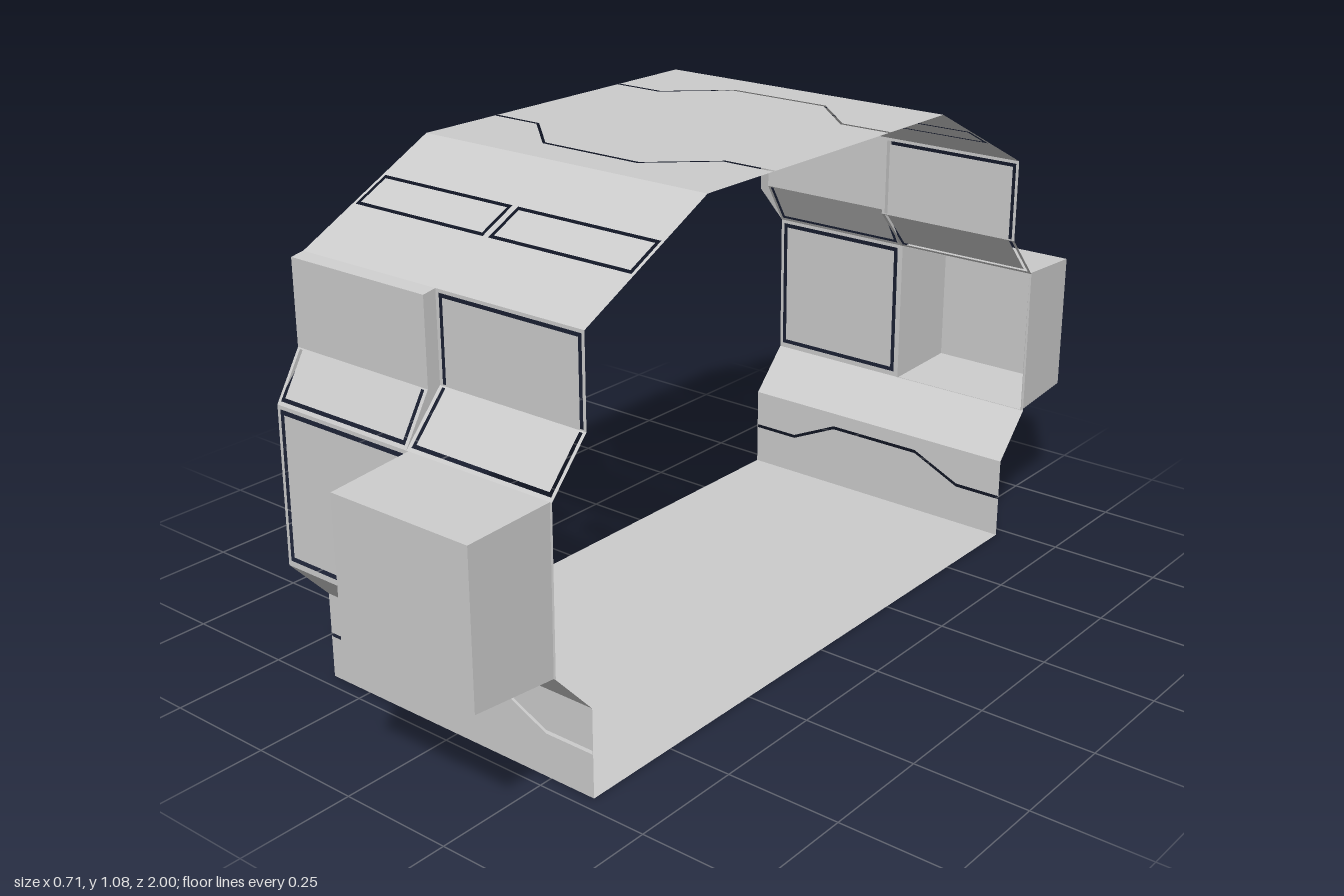
import * as THREE from 'three';

const W = 0.357; // half width of the tunnel segment
const GAP = 0.008; // width of the panel seams
const material = new THREE.MeshStandardMaterial({ color: 0xcccccc, flatShading: true, side: THREE.DoubleSide });

const outline = (pts) => pts.map(([x, y]) => new THREE.Vector2(x, y));
const rect = (x0, x1, t0, t1) => [[x0, t0], [x1, t0], [x1, t1], [x0, t1]];

// Seam running all round a rectangle: a hole with a slightly smaller panel inside
const frame = (x0, x1, t0, t1, g = GAP) => ({
  hole: rect(x0, x1, t0, t1),
  island: rect(x0 + g, x1 - g, t0 + g, t1 - g),
});

// Three-sided seam, open at t = open and closed at t = end
function channel(x0, x1, open, end, g = GAP) {
  const inner = end - Math.sign(end - open) * g;
  return {
    hole: [[x0, open], [x0, end], [x1, end], [x1, open],
      [x1 - g, open], [x1 - g, inner], [x0 + g, inner], [x0 + g, open]],
  };
}

// Cranked seam crossing the whole width
function crank(low, high) {
  const e = W - 0.001;
  const line = [[-e, low], [-0.24, low], [-0.12, high], [0.12, high], [0.24, low], [e, low]];
  const upper = line.map(([x, t]) => [x, t + GAP]).reverse();
  return { hole: [...line, ...upper] };
}

function add(parent, name, geometry) {
  const mesh = new THREE.Mesh(geometry, material);
  mesh.name = name;
  parent.add(mesh);
  return mesh;
}

// Flat wall between profile points a and b (each [z, y]), cut by seams and openings
function wall(parent, name, a, b, cuts = [], x0 = -W, x1 = W) {
  const from = new THREE.Vector3(0, a[1], a[0]);
  const along = new THREE.Vector3(0, b[1], b[0]).sub(from);
  const length = along.length();
  along.normalize();
  const across = new THREE.Vector3(1, 0, 0);
  const shape = new THREE.Shape(outline(rect(x0, x1, 0, length)));
  const shapes = [shape];
  for (const { hole, island } of cuts) {
    shape.holes.push(new THREE.Path(outline(hole)));
    if (island) shapes.push(new THREE.Shape(outline(island)));
  }
  const geometry = new THREE.ShapeGeometry(shapes);
  const matrix = new THREE.Matrix4()
    .makeBasis(across, along, across.clone().cross(along))
    .setPosition(from);
  return add(parent, name, geometry.applyMatrix4(matrix));
}

// Tapered box projecting outwards, hollow and open to the inside
function projectingBox(parent) {
  const geometry = new THREE.BoxGeometry(0.347, 0.34, 0.19);
  geometry.setIndex(Array.from(geometry.index.array).slice(0, 30));
  geometry.clearGroups();
  const p = geometry.attributes.position;
  for (let i = 0; i < p.count; i++) {
    if (p.getZ(i) > 0) p.setXY(i, p.getX(i) * 0.96, p.getY(i) * 0.93);
  }
  geometry.computeVertexNormals();
  geometry.translate(0.1785, 0.46, 0.905);
  add(parent, 'projectingBox', geometry);
}

// Raised upper panel on one half, with closed sides
function raisedPanel(parent) {
  const top = [0.72, 0.915], lip = [0.75, 0.91], bend = [0.75, 0.73], foot = [0.81, 0.63];
  const slope = Math.hypot(0.06, 0.1);
  wall(parent, 'raisedPanelSlope', foot, bend,
    [channel(-0.35, -0.008, slope - 0.003, 0.008)], -W, 0);
  wall(parent, 'raisedPanelFace', bend, lip, [], -W, 0);
  wall(parent, 'raisedPanelTop', lip, top, [], -W, 0);
  for (const x of [-W, 0]) {
    const side = new THREE.ShapeGeometry(new THREE.Shape(outline([top, [0.72, 0.73], foot, bend, lip])));
    side.rotateY(-Math.PI / 2).translate(x, 0, 0);
    add(parent, 'raisedPanelSide', side);
  }
}

// One half of the segment, from the middle of the floor to the middle of the roof
function buildHalf(name) {
  const half = new THREE.Group();
  half.name = name;
  wall(half, 'floor', [0, 0], [0.72, 0]);
  wall(half, 'lowerWall', [0.72, 0], [0.72, 0.19], [crank(0.093, 0.148)]);
  wall(half, 'lowerSlope', [0.72, 0.19], [0.813, 0.29]);
  wall(half, 'middleWall', [0.813, 0.29], [0.81, 0.63], [
    frame(-0.349, -0.009, 0.012, 0.332, 0.01),
    { hole: rect(0.005, 0.352, 0.001, 0.339) },
  ]);
  projectingBox(half);

  // Upper wall: plain bent panel on one side, raised panel on the other
  const shoulder = Math.hypot(0.09, 0.1);
  wall(half, 'shoulder', [0.81, 0.63], [0.72, 0.73],
    [channel(0.008, 0.35, shoulder - 0.003, 0.008)], 0, W);
  wall(half, 'upperWall', [0.72, 0.73], [0.72, 0.915],
    [channel(0.008, 0.35, 0.003, 0.178)], 0, W);
  raisedPanel(half);

  wall(half, 'roofSlope', [0.72, 0.915], [0.39, 1.08], [
    frame(-0.35, -0.007, 0.145, 0.235),
    frame(0.007, 0.35, 0.145, 0.235),
  ]);
  // Roof seam measured from the outer edge towards the middle
  wall(half, 'roof', [0.39, 1.08], [0, 1.08], [crank(0.194, 0.084)]);
  return half;
}

export function createModel() {
  const model = new THREE.Group();
  model.name = 'tunnelSegment';
  const front = buildHalf('frontHalf');
  const back = buildHalf('backHalf');
  back.scale.z = -1;
  model.add(front, back);
  return model;
}
